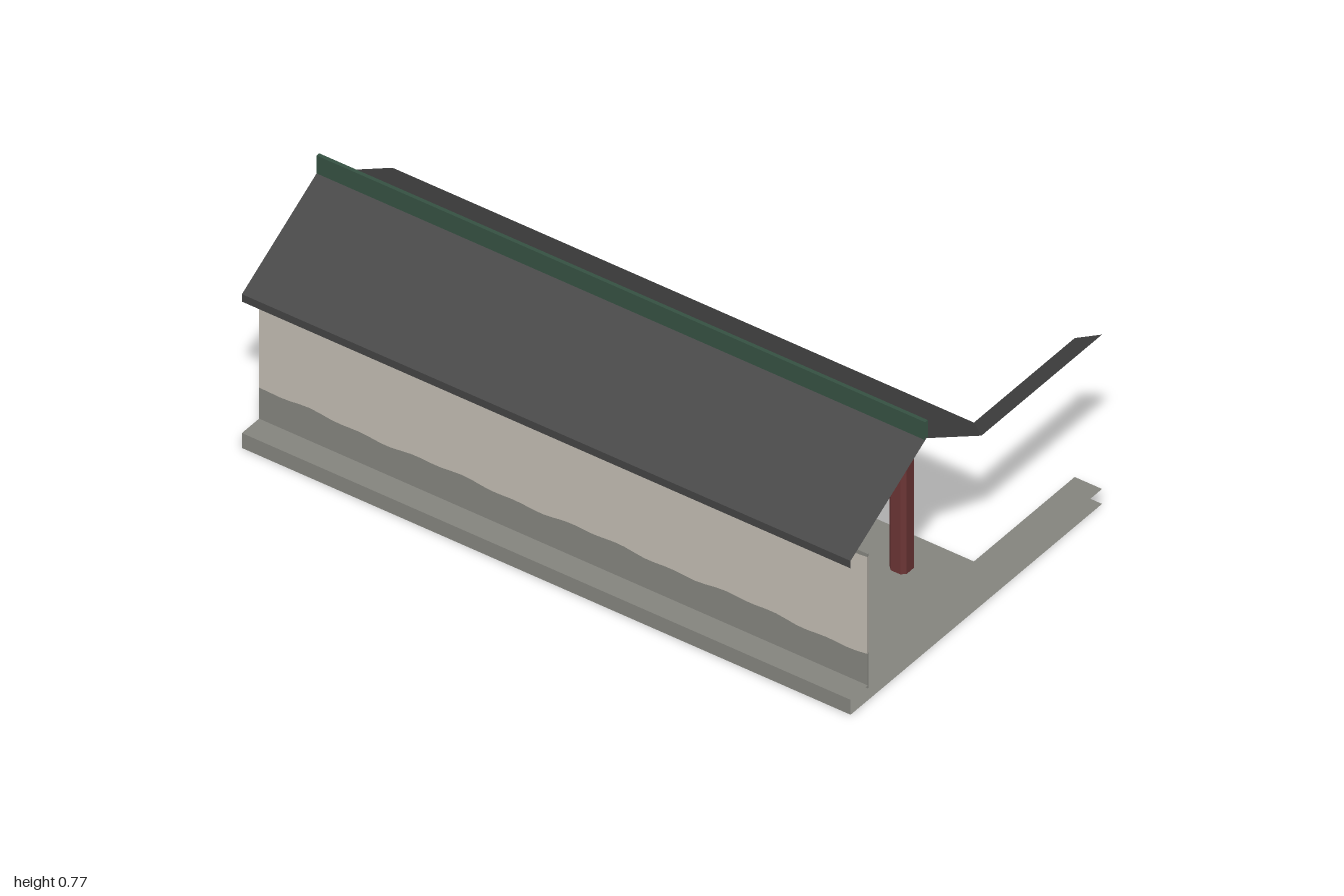
import * as THREE from 'three';

const mat = (name, color) => {
  const m = new THREE.MeshStandardMaterial({ color, side: THREE.DoubleSide });
  m.name = name;
  return m;
};

// Convex polygons (lists of [x, y, z] corners, outside anticlockwise) as flat sheets
function sheets(polygons) {
  const pos = [];
  for (const p of polygons)
    for (let i = 1; i < p.length - 1; i++) pos.push(...p[0], ...p[i], ...p[i + 1]);
  const g = new THREE.BufferGeometry();
  g.setAttribute('position', new THREE.Float32BufferAttribute(pos, 3));
  g.computeVertexNormals();
  return g;
}

export function createModel() {
  const group = new THREE.Group();
  const stone = mat('stone grey', 0x868680);
  const plaster = mat('plaster', 0xc4beb4);
  const tile = mat('roof tile', 0x444444);
  const green = mat('ridge green', 0x365243);
  const red = mat('column red', 0x6c3535);

  const add = (name, geometry, material, x = 0, y = 0, z = 0) => {
    const m = new THREE.Mesh(geometry, material);
    m.name = name;
    m.position.set(x, y, z);
    group.add(m);
    return m;
  };

  // Plan: a long gallery and a narrow branch running back from its left end
  const front = 0.57, back = -0.115, inner = 0.91, end = -0.573;
  const floorTop = 0.05, eave = 0.515, eaveBottom = 0.49;
  const ridgeZ = 0.225, ridgeY = 0.713, branchY = 0.567;
  const valleyZ = back + 1 - inner;

  // Floor slab, open where the gallery continues (x = 1 and the branch end)
  const plan = (y) => [
    [[-1, y, front], [1, y, front], [1, y, back], [-1, y, back]],
    [[inner, y, back], [1, y, back], [1, y, end], [inner, y, end]],
  ];
  const side = (x0, z0, x1, z1, y0, y1) =>
    [[x0, y0, z0], [x1, y0, z1], [x1, y1, z1], [x0, y1, z0]];
  add('floorSlab', sheets([
    ...plan(floorTop),
    ...plan(0).map((p) => p.reverse()),
    side(-1, front, 1, front, 0, floorTop),
    side(-1, back, -1, front, 0, floorTop),
    side(inner, back, -1, back, 0, floorTop),
    side(inner, end, inner, back, 0, floorTop),
  ]), stone);

  // Gable roof and the half roof of the branch, meeting in a valley
  add('mainRoof', sheets([
    [[-1, eave, front], [1, eave, front], [1, ridgeY, ridgeZ], [-1, ridgeY, ridgeZ]],
    [[inner, eave, back], [-1, eave, back], [-1, ridgeY, ridgeZ],
      [1, ridgeY, ridgeZ], [1, branchY, valleyZ]],
  ]), tile);
  add('branchRoof', sheets([
    [[inner, eave, back], [1, branchY, valleyZ], [1, branchY, end], [inner, eave, end]],
  ]), tile);
  add('eaveBoards', sheets([
    side(-1, front, 1, front, eaveBottom, eave),
    side(inner, back, -1, back, eaveBottom, eave),
    side(inner, end, inner, back, eaveBottom, eave),
  ]), tile);

  // Ridge cap with open ends
  const rz = 0.006, ry = 0.77;
  add('ridgeCap', sheets([
    side(-1, ridgeZ + rz, 1, ridgeZ + rz, ridgeY - 0.003, ry),
    side(1, ridgeZ - rz, -1, ridgeZ - rz, ridgeY - 0.003, ry),
    [[-1, ry, ridgeZ + rz], [1, ry, ridgeZ + rz], [1, ry, ridgeZ - rz], [-1, ry, ridgeZ - rz]],
  ]), green);

  // Wall core, with worn plaster on both faces
  const wallZ = 0.49;
  add('wallCore', new THREE.BoxGeometry(2, 0.45, 0.004), stone, 0, 0.265, wallZ);
  const worn = new THREE.Shape();
  const steps = 60;
  const wobble = (x) => 0.004 * Math.sin(x * 13) + 0.003 * Math.sin(x * 37 + 1);
  for (let i = 0; i <= steps; i++) {
    const x = -1 + (2 * i) / steps;
    worn[i ? 'lineTo' : 'moveTo'](x, 0.154 + wobble(x));
  }
  for (let i = steps; i >= 0; i--) {
    const x = -1 + (2 * i) / steps;
    const dip = 0.026 * Math.exp(-(((x - 0.17) / 0.11) ** 2));
    worn.lineTo(x, 0.479 - dip + 0.7 * wobble(x + 0.5));
  }
  const wornGeometry = new THREE.ShapeGeometry(worn);
  add('plasterFront', wornGeometry, plaster, 0, 0, wallZ + 0.0035);
  const innerPlaster = add('plasterBack', wornGeometry, plaster, 0, 0, wallZ - 0.0035);
  innerPlaster.scale.z = -1;

  // Row of square columns with chamfered corners
  const h = 0.028, c = 0.016;
  const section = new THREE.Shape([
    [c, -h], [h, -c], [h, c], [c, h], [-c, h], [-h, c], [-h, -c], [-c, -h],
  ].map(([x, y]) => new THREE.Vector2(x, y)));
  const columnGeometry = new THREE.ExtrudeGeometry(section, { depth: 0.467, bevelEnabled: false });
  columnGeometry.rotateX(-Math.PI / 2);
  for (let i = 0; i < 5; i++)
    add('column', columnGeometry, red, -0.795 + i * 0.391, 0.041, 0.018);

  return group;
}
